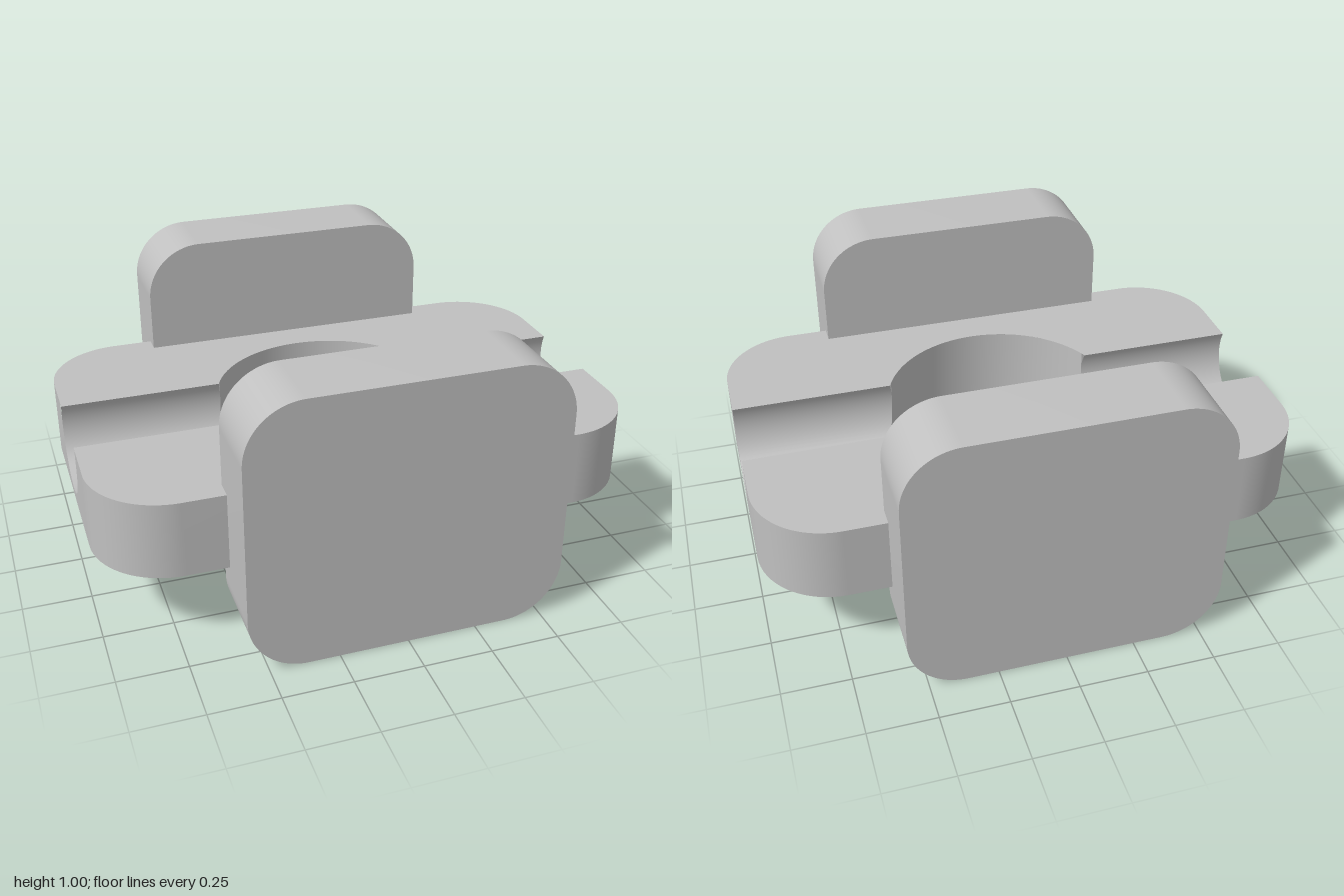
import * as THREE from 'three';
import { mergeGeometries, mergeVertices, toCreasedNormals } from 'three/addons/utils/BufferGeometryUtils.js';

const BOTTOM = 0.29, TOP = 0.575;           // plate heights
const HALF_Z = 0.64, CORNER = 0.28;         // plate outline (x reaches 1)
const HOLE = 0.43;                          // central hole radius
const GROOVE = 0.18, GROOVE_Y = 0.5;        // groove running along x
const CX = 1 - CORNER, CZ = HALF_Z - CORNER;
const A = Math.acos((GROOVE_Y - TOP) / GROOVE);   // groove half angle, from its lowest line
const LIP = GROOVE * Math.sin(A);                 // half width of the opening

const holeX = (z) => Math.sqrt(HOLE * HOLE - z * z);
const range = (n, from, to) => Array.from({ length: n + 1 }, (_, i) => from + (to - from) * i / n);

// Ruled surface between two rows of [x, y, z] points
function ruled(a, b) {
  const n = a.length, index = [];
  for (let i = 0; i < n - 1; i++) index.push(i, i + 1, n + i + 1, i, n + i + 1, n + i);
  const g = new THREE.BufferGeometry();
  g.setAttribute('position', new THREE.Float32BufferAttribute([...a, ...b].flat(), 3));
  g.setIndex(index);
  g.computeVertexNormals();
  return g;
}

// Merge strips and smooth across their joins
function joined(list) {
  const g = mergeGeometries(list);
  g.deleteAttribute('normal');
  const m = mergeVertices(g, 1e-4);
  m.computeVertexNormals();
  return m;
}

// Vertical strips around the groove profile; xAt(z) gives the surface, facing +x
function notchedWall(xAt, zEnd) {
  const pt = (y, z) => [xAt(z), y, z];
  const zOf = (t) => GROOVE * Math.sin(t), yOf = (t) => GROOVE_Y - GROOVE * Math.cos(t);
  const q = Math.PI / 2;
  const parts = [];
  const strip = (ts, low, high) =>
    parts.push(ruled(ts.map((t) => pt(low(t), zOf(t))), ts.map((t) => pt(high(t), zOf(t)))));
  strip(range(32, q, -q), () => BOTTOM, yOf);           // below the groove
  strip(range(8, A, q), yOf, () => TOP);                // under-cut lips
  strip(range(8, -q, -A), yOf, () => TOP);
  for (const [z0, z1] of [[zEnd, GROOVE], [-GROOVE, -zEnd]]) {
    if (zEnd <= GROOVE) continue;
    const zs = [z0, z1];
    parts.push(ruled(zs.map((z) => pt(BOTTOM, z)), zs.map((z) => pt(TOP, z))));
  }
  return joined(parts);
}

// Rounded rectangle centred on the origin
function roundedRect(hx, hy, r) {
  const s = new THREE.Shape();
  s.absarc(hx - r, hy - r, r, 0, Math.PI / 2);
  s.absarc(r - hx, hy - r, r, Math.PI / 2, Math.PI);
  s.absarc(r - hx, r - hy, r, Math.PI, Math.PI * 1.5);
  s.absarc(hx - r, r - hy, r, Math.PI * 1.5, Math.PI * 2);
  s.closePath();
  return s;
}

function flip(g) {
  const idx = g.index.array;
  for (let i = 0; i < idx.length; i += 3) [idx[i], idx[i + 1]] = [idx[i + 1], idx[i]];
  g.computeVertexNormals();
  return g;
}

export function createModel() {
  const model = new THREE.Group();
  const grey = new THREE.MeshStandardMaterial({ color: 0xc0c0c0 });
  grey.name = 'grey';
  const add = (parent, name, geometry) => {
    const m = new THREE.Mesh(geometry, grey);
    m.name = name;
    parent.add(m);
    return m;
  };

  // Plate with a central hole and a groove across its top
  const plate = new THREE.Group();
  plate.name = 'groovedPlate';
  model.add(plate);

  const base = roundedRect(1, HALF_Z, CORNER);
  base.holes.push(new THREE.Path().absarc(0, 0, HOLE, 0, Math.PI * 2, true));
  add(plate, 'plateUnderside', new THREE.ShapeGeometry(base, 32).rotateX(Math.PI / 2).translate(0, BOTTOM, 0));

  // The plate repeats itself after half a turn
  for (const turn of [0, Math.PI]) {
    const half = new THREE.Group();
    half.name = turn ? 'plateRightHalf' : 'plateLeftHalf';
    half.rotation.y = turn;
    plate.add(half);

    // Top face beside the groove
    const phi = Math.asin(LIP / HOLE);
    const s = new THREE.Shape();
    s.moveTo(holeX(LIP), LIP);
    s.lineTo(1, LIP);
    s.absarc(CX, CZ, CORNER, 0, Math.PI / 2);
    s.absarc(-CX, CZ, CORNER, Math.PI / 2, Math.PI);
    s.lineTo(-1, LIP);
    s.lineTo(-holeX(LIP), LIP);
    s.absarc(0, 0, HOLE, Math.PI - phi, phi, true);
    add(half, 'plateTop', new THREE.ShapeGeometry(s, 32).rotateX(-Math.PI / 2).translate(0, TOP, 0));

    // Outer edge with its two rounded corners
    const arc = (cx, from, to) => range(16, from, to).map((t) => [cx + CORNER * Math.cos(t), CZ + CORNER * Math.sin(t)]);
    const edge = [...arc(CX, 0, Math.PI / 2), ...arc(-CX, Math.PI / 2, Math.PI)];
    add(half, 'plateEdge', ruled(edge.map(([x, z]) => [x, TOP, z]), edge.map(([x, z]) => [x, BOTTOM, z])));

    // End face, notched by the groove
    add(half, 'plateEnd', notchedWall(() => 1, CZ));

    // Hole wall: plain arc, then the part cut by the groove
    const th = Math.asin(GROOVE / HOLE);
    const ring = range(40, th, Math.PI - th).map((t) => [HOLE * Math.cos(t), HOLE * Math.sin(t)]);
    add(half, 'holeWall', ruled(ring.map(([x, z]) => [x, BOTTOM, z]), ring.map(([x, z]) => [x, TOP, z])));
    add(half, 'holeWallNotched', flip(notchedWall(holeX, GROOVE)));

    // Groove channel from the hole to the end face
    const profile = range(48, -A, A).map((t) => [GROOVE_Y - GROOVE * Math.cos(t), GROOVE * Math.sin(t)]);
    add(half, 'groove', ruled(profile.map(([y, z]) => [holeX(z), y, z]), profile.map(([y, z]) => [1, y, z])));
  }

  // Upright rounded slabs at front and back
  const slab = new THREE.ExtrudeGeometry(roundedRect(0.57, 0.5, 0.21), { depth: 0.286, bevelEnabled: false, curveSegments: 16 });
  slab.translate(0, 0.5, -0.143);
  const slabGeometry = toCreasedNormals(slab, 0.5);
  add(model, 'frontSlab', slabGeometry).position.z = 0.714;
  add(model, 'backSlab', slabGeometry).position.z = -0.714;

  return model;
}
